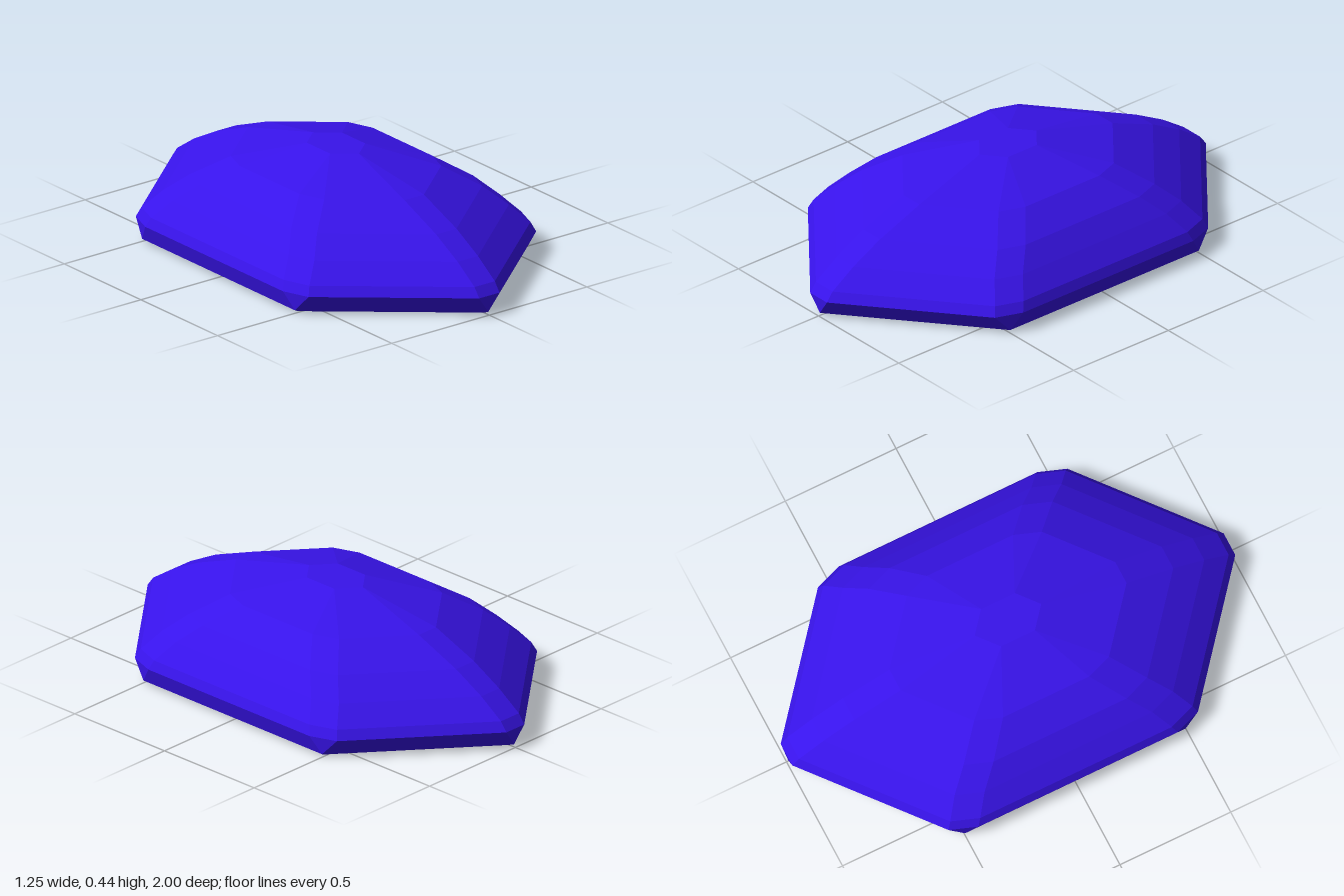
import * as THREE from 'three';

const SLOPE = 0.822; // slope of the hexagon's slanted sides, seen from above

// Elongated hexagon at height y: half width X, half length T, corners cut by w
function ring([y, X, T, w]) {
  const cutX = X - 0.8 * w;
  const cutZ = T - SLOPE * (cutX - w);
  const sideZ = cutZ - 2.2 * w;
  const quarter = [[w, T], [cutX, cutZ], [X, sideZ]];
  const half = [...quarter, ...quarter.map(([x, z]) => [x, -z]).reverse()];
  return [...half, ...half.map(([x, z]) => [-x, -z])].map(([x, z]) => new THREE.Vector3(x, y, z));
}

// Skin the rings in order, leaving out collapsed triangles
function loft(profile) {
  const rings = profile.map(ring);
  const points = [];
  const tri = (a, b, c) => {
    const area = b.clone().sub(a).cross(c.clone().sub(a)).length();
    if (area > 1e-7) points.push(a, b, c);
  };
  for (let r = 0; r < rings.length - 1; r++) {
    const a = rings[r], b = rings[r + 1];
    for (let i = 0; i < a.length; i++) {
      const j = (i + 1) % a.length;
      tri(a[i], a[j], b[j]);
      tri(a[i], b[j], b[i]);
    }
  }
  const geometry = new THREE.BufferGeometry().setFromPoints(points);
  geometry.computeVertexNormals();
  return geometry;
}

export function createModel() {
  const group = new THREE.Group();
  group.name = 'cutGem';
  const material = new THREE.MeshStandardMaterial({ color: 0x3813ea, flatShading: true });
  const add = (name, profile) => {
    const mesh = new THREE.Mesh(loft(profile), material);
    mesh.name = name;
    group.add(mesh);
  };

  // Girdle and stepped facets up to the flat table
  add('crown', [
    [0, 0.58, 0.965, 0],
    [0.012, 0.602, 0.993, 0],
    [0.085, 0.625, 1.0, 0.052],
    [0.125, 0.608, 0.97, 0.052],
    [0.2, 0.54, 0.86, 0.052],
    [0.275, 0.465, 0.72, 0.052],
    [0.358, 0.34, 0.51, 0.05],
    [0.435, 0.09, 0.15, 0],
    [0.435, 0, 0, 0],
  ]);

  // Hollow underside, from its peak down to the rim
  add('hollowUnderside', [
    [0.33, 0, 0, 0],
    [0.33, 0.05, 0.08, 0.008],
    [0.29, 0.15, 0.24, 0.02],
    [0.02, 0.5, 0.78, 0.05],
    [0, 0.55, 0.89, 0.02],
    [0, 0.58, 0.965, 0],
  ]);
  return group;
}
